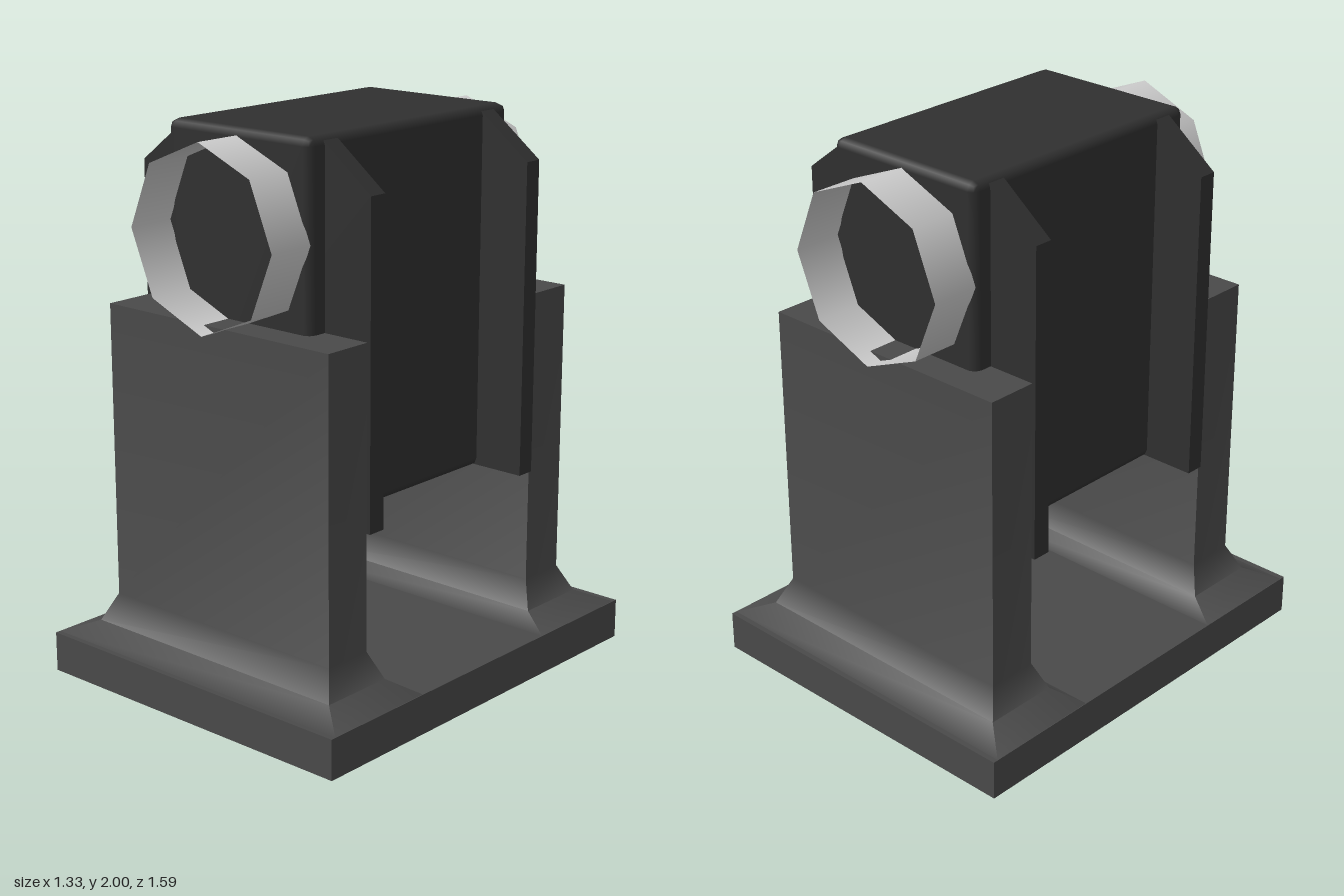
import * as THREE from 'three';
import { toCreasedNormals } from 'three/addons/utils/BufferGeometryUtils.js';
import { RoundedBoxGeometry } from 'three/addons/geometries/RoundedBoxGeometry.js';

const frameMat = new THREE.MeshStandardMaterial({ color: 0x4a4a4a });
const bodyMat = new THREE.MeshStandardMaterial({ color: 0x303030 });
const ringMat = new THREE.MeshStandardMaterial({ color: 0xcccccc, side: THREE.DoubleSide });

function add(parent, name, geometry, material, x = 0, y = 0, z = 0) {
  const mesh = new THREE.Mesh(geometry, material);
  mesh.name = name;
  mesh.position.set(x, y, z);
  parent.add(mesh);
  return mesh;
}

// Stack of rectangles [y, half width, z min, z max], closed on top
function loftRectangles(sections) {
  const points = [], index = [];
  for (const [y, w, z0, z1] of sections) {
    points.push(-w, y, z1, w, y, z1, w, y, z0, -w, y, z0);
  }
  for (let s = 0; s < sections.length - 1; s++) {
    for (let i = 0; i < 4; i++) {
      const a = s * 4 + i, b = s * 4 + (i + 1) % 4;
      index.push(a, b, b + 4, a, b + 4, a + 4);
    }
  }
  const t = (sections.length - 1) * 4;
  index.push(t, t + 1, t + 2, t, t + 2, t + 3);
  const geometry = new THREE.BufferGeometry();
  geometry.setAttribute('position', new THREE.Float32BufferAttribute(points, 3));
  geometry.setIndex(index);
  return toCreasedNormals(geometry, 0.9);
}

export function createModel() {
  const model = new THREE.Group();
  model.name = 'mountedBlock';

  // Base plate
  add(model, 'basePlate', new THREE.BoxGeometry(1.325, 0.145, 1.59), frameMat, 0, 0.0725, 0);

  // Hanging block with small chamfers
  add(model, 'block', new RoundedBoxGeometry(0.64, 1.3, 1.03, 1, 0.03), bodyMat, 0, 1.35, 0);

  // Upright with a flared foot
  const uprightGeo = loftRectangles([
    [0.145, 0.66, 0.335, 0.775],
    [0.19, 0.548, 0.4, 0.68],
    [0.29, 0.503, 0.443, 0.63],
    [1.355, 0.503, 0.443, 0.63],
  ]);

  // Flange plate with sloping shoulders
  const outline = new THREE.Shape([
    [-0.515, 0.705], [0.515, 0.705], [0.515, 1.83], [0.3, 1.995], [-0.3, 1.995], [-0.515, 1.83],
  ].map(([x, y]) => new THREE.Vector2(x, y)));
  const flangeGeo = new THREE.ExtrudeGeometry(outline, { depth: 0.068, bevelEnabled: false });
  flangeGeo.translate(0, 0, 0.373);

  // Open eight-sided ring
  const ringGeo = new THREE.CylinderGeometry(0.32, 0.32, 0.18, 8, 1, true);
  ringGeo.rotateX(Math.PI / 2);

  // Both ends match: the back one is turned half round
  for (const [name, turn] of [['front', 0], ['back', Math.PI]]) {
    const end = new THREE.Group();
    end.name = name + 'End';
    end.rotation.y = turn;
    add(end, name + 'Upright', uprightGeo, frameMat);
    add(end, name + 'Flange', flangeGeo, bodyMat);
    add(end, name + 'Ring', ringGeo, ringMat, 0, 1.655, 0.6);
    model.add(end);
  }
  return model;
}
